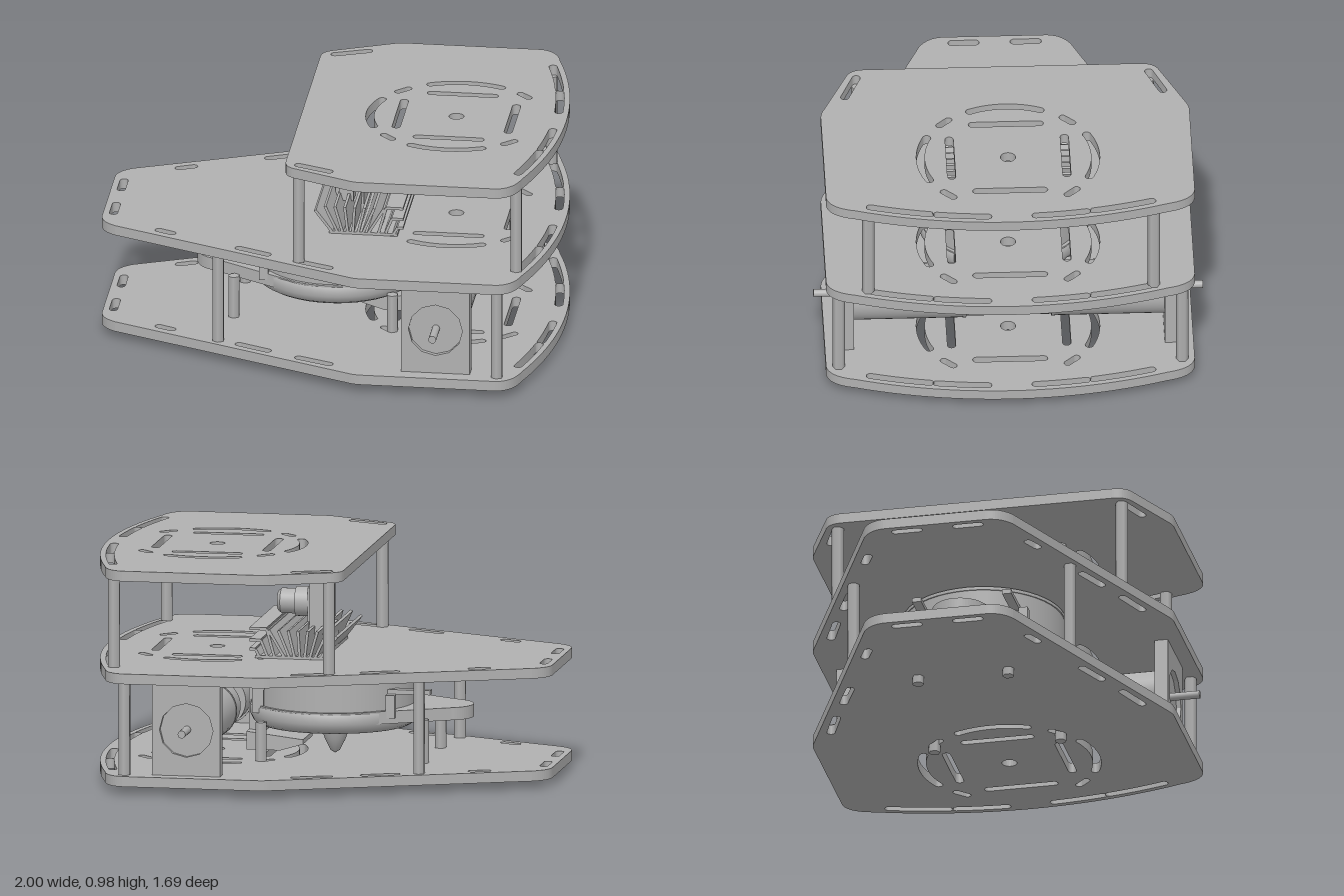
import * as THREE from 'three';

export function createModel() {
  const root = new THREE.Group();
  root.name = 'robotChassis';
  const grey = new THREE.MeshStandardMaterial({ color: 0xb0b0b0 });
  grey.name = 'plain grey';

  const add = (name, geo, x = 0, y = 0, z = 0) => {
    const m = new THREE.Mesh(geo, grey);
    m.name = name;
    m.position.set(x, y, z);
    root.add(m);
    return m;
  };
  const box = (name, x0, x1, y0, y1, z0, z1) =>
    add(name, new THREE.BoxGeometry(x1 - x0, y1 - y0, z1 - z0), (x0 + x1) / 2, (y0 + y1) / 2, (z0 + z1) / 2);
  const post = (name, x, z, y0, y1, r = 0.027) => {
    const g = new THREE.CylinderGeometry(r, r, y1 - y0, 6);
    return add(name, g.toNonIndexed(), x, (y0 + y1) / 2, z);
  };
  const cylZ = (name, r, x, y, z0, z1, seg = 40) =>
    add(name, new THREE.CylinderGeometry(r, r, Math.abs(z1 - z0), seg).rotateX(Math.PI / 2), x, y, (z0 + z1) / 2);
  const cylX = (name, r0, r1, x0, x1, y) =>
    add(name, new THREE.CylinderGeometry(r1, r0, x1 - x0, 32).rotateZ(-Math.PI / 2), (x0 + x1) / 2, y, 0);
  const flat = (shape, h) =>
    new THREE.ExtrudeGeometry(shape, { depth: h, bevelEnabled: false, curveSegments: 12 }).rotateX(-Math.PI / 2);
  const lathe = (pts) => new THREE.LatheGeometry(pts.map(p => new THREE.Vector2(...p)), 48);

  // Straight slot with round ends
  const slot = (x0, z0, x1, z1, r = 0.018) => {
    const a = Math.atan2(z1 - z0, x1 - x0), p = new THREE.Path();
    p.absarc(x1, z1, r, a - Math.PI / 2, a + Math.PI / 2, false);
    p.absarc(x0, z0, r, a + Math.PI / 2, a + Math.PI * 1.5, false);
    p.closePath();
    return p;
  };
  // Curved slot following a circle
  const arcSlot = (cx, cz, R, a0, a1, r = 0.018) => {
    const p = new THREE.Path();
    p.absarc(cx, cz, R + r, a0, a1, false);
    p.absarc(cx + R * Math.cos(a1), cz + R * Math.sin(a1), r, a1, a1 + Math.PI, false);
    p.absarc(cx, cz, R - r, a1, a0, true);
    p.absarc(cx + R * Math.cos(a0), cz + R * Math.sin(a0), r, a0 + Math.PI, a0 + Math.PI * 2, false);
    p.closePath();
    return p;
  };

  // Deck plates: tapered rear, bowed nose, mounting slots
  function deck(short) {
    const s = new THREE.Shape();
    const cx = -1.143, R = 2.143, a = Math.asin(0.68 / R);
    s.moveTo(0.2, -0.8);
    s.lineTo(0.79, -0.8);
    s.quadraticCurveTo(0.865, -0.79, cx + R * Math.cos(a), -0.68);
    s.absarc(cx, 0, R, -a, a, false);
    s.quadraticCurveTo(0.865, 0.79, 0.79, 0.8);
    s.lineTo(0.2, 0.8);
    s.quadraticCurveTo(0.17, 0.8, 0.14, 0.785);
    if (short) {
      s.lineTo(-0.1, 0.68);
      s.quadraticCurveTo(-0.15, 0.66, -0.15, 0.6);
      s.lineTo(-0.15, -0.6);
      s.quadraticCurveTo(-0.15, -0.66, -0.1, -0.68);
    } else {
      s.lineTo(-0.93, 0.33);
      s.quadraticCurveTo(-1, 0.29, -1, 0.22);
      s.lineTo(-1, -0.22);
      s.quadraticCurveTo(-1, -0.29, -0.93, -0.33);
    }
    s.lineTo(0.14, -0.785);
    s.quadraticCurveTo(0.17, -0.8, 0.2, -0.8);

    const c = 0.52, h = s.holes;
    const hub = new THREE.Path();
    hub.absarc(c, 0, 0.033, 0, Math.PI * 2, false);
    h.push(hub, slot(0.275, -0.145, 0.275, 0.145), slot(0.765, -0.145, 0.765, 0.145));
    h.push(arcSlot(c, 0, 0.375, Math.PI - 0.42, Math.PI + 0.42));
    for (const k of [1, -1]) {
      h.push(slot(0.38, 0.25 * k, 0.655, 0.25 * k));
      h.push(arcSlot(c, 0, 0.38, k * Math.PI / 2 - 0.42, k * Math.PI / 2 + 0.42));
      h.push(slot(0.235, 0.248 * k, 0.275, 0.288 * k, 0.016).clone());
      h.push(slot(0.765, 0.288 * k, 0.805, 0.248 * k, 0.016));
      const n = [[0.05, 0.155], [0.17, 0.295]];
      for (const [p, q] of n) h.push(arcSlot(-1.143, 0, 2.1, k > 0 ? p : -q, k > 0 ? q : -p));
      h.push(slot(-0.09, 0.635 * k, 0.05, 0.69 * k));
      if (!short) {
        h.push(slot(-0.365, 0.515 * k, -0.235, 0.572 * k));
        h.push(slot(-0.735, 0.355 * k, -0.675, 0.382 * k));
        h.push(slot(-0.955, 0.085 * k, -0.955, 0.185 * k));
      }
    }
    return flat(s, 0.045);
  }
  add('bottomDeck', deck(false), 0, 0.035, 0);
  add('middleDeck', deck(false), 0, 0.486, 0);
  add('topDeck', deck(true), 0, 0.938, 0);

  for (const k of [1, -1]) {
    // Hexagonal spacers between decks
    post('rearUpperSpacer', -0.09, 0.63 * k, 0.531, 0.938);
    post('noseUpperSpacer', 0.86, 0.62 * k, 0.531, 0.938);
    post('rearLowerSpacer', -0.46, 0.48 * k, 0.08, 0.486);
    post('noseLowerSpacer', 0.79, 0.745 * k, 0.08, 0.486);
    // Scanner legs pass through the bottom deck
    post('scannerRearLeg', -0.427, 0.2 * k, 0, 0.27, 0.026);
    post('scannerFrontLeg', 0.275, 0.28 * k, 0, 0.25, 0.026);

    // Drive motors with bracket and shaft
    const b = new THREE.Shape([[0.37, 0.08], [0.67, 0.08], [0.67, 0.486], [0.37, 0.486]].map(p => new THREE.Vector2(...p)));
    const hole = new THREE.Path();
    hole.absarc(0.52, 0.28, 0.118, 0, Math.PI * 2, false);
    b.holes.push(hole);
    add('motorBracket', new THREE.ExtrudeGeometry(b, { depth: 0.06, bevelEnabled: false, curveSegments: 6 }), 0, 0, k > 0 ? 0.675 : -0.735);
    cylZ('motorGearbox', 0.12, 0.52, 0.28, 0.2 * k, 0.715 * k);
    cylZ('motorBody', 0.114, 0.52, 0.28, 0.06 * k, 0.2 * k);
    cylZ('motorBand', 0.122, 0.52, 0.28, 0.185 * k, 0.2 * k);
    cylZ('motorShaft', 0.017, 0.52, 0.28, 0.7 * k, 0.845 * k, 16);
  }

  // Scanner slung beneath the middle deck
  const tear = new THREE.Shape();
  const t = 1.95;
  tear.absarc(0, 0, 0.365, -t, t, false);
  tear.absarc(-0.49, 0, 0.12, t, Math.PI * 2 - t, false);
  tear.closePath();
  add('scannerBase', flat(tear, 0.055), 0, 0.255, 0);
  add('scannerBowl', lathe([[0, 0.215], [0.33, 0.215], [0.355, 0.23], [0.37, 0.26], [0.37, 0.3], [0.35, 0.31], [0, 0.31]]));
  add('scannerTurret', new THREE.CylinderGeometry(0.35, 0.35, 0.16, 48), 0, 0.39, 0);
  add('scannerRim', new THREE.CylinderGeometry(0.355, 0.355, 0.015, 48), 0, 0.47, 0);
  add('scannerMotor', lathe([[0, 0.08], [0.02, 0.09], [0.045, 0.14], [0.063, 0.19], [0.065, 0.22], [0, 0.22]]));
  for (const k of [1, -1]) {
    box('scannerStrap', -0.46, 0.3, 0.38, 0.4, 0.2 * k - 0.02, 0.2 * k + 0.02);
    box('scannerFrontStrut', 0.275, 0.325, 0.28, 0.48, 0.2 * k - 0.025, 0.2 * k + 0.025);
    box('scannerRearStrut', -0.31, -0.27, 0.28, 0.38, 0.24 * k - 0.02, 0.24 * k + 0.02);
  }
  box('scannerWindow', 0.3, 0.365, 0.39, 0.48, -0.12, 0.1);
  box('scannerNeck', 0.3, 0.37, 0.17, 0.4, -0.055, 0.06);

  // Sloped control board under the scanner
  const wedge = new THREE.Shape([[0.12, 0.13], [0.22, 0.1], [0.37, 0.1], [0.37, 0.18], [0.12, 0.15]].map(p => new THREE.Vector2(...p)));
  add('controlBoard', new THREE.ExtrudeGeometry(wedge, { depth: 0.22, bevelEnabled: false }), 0, 0, -0.12);

  // Heat sink: fanned fins, the outer ones with folded lips
  const fin = (x0, y0, x1, y1) => {
    const m = add('heatSinkFin', new THREE.BoxGeometry(Math.hypot(x1 - x0, y1 - y0), 0.012, 0.585), (x0 + x1) / 2, (y0 + y1) / 2, 0.007);
    m.rotation.z = Math.atan2(y1 - y0, x1 - x0);
  };
  for (let i = 0; i < 8; i++) fin(0.02 + i * 0.021, 0.53, -0.06 + i * 0.043, 0.655 - (i === 0 ? 0.02 : 0));
  for (const [x0, x1, y1] of [[0.215, 0.25, 0.66], [0.245, 0.275, 0.61], [0.28, 0.3, 0.57]]) {
    fin(x0, 0.535, x1, y1);
    fin(x1, y1, 0.325, y1);
  }
  box('heatSinkBase', 0, 0.3, 0.531, 0.543, -0.285, 0.3);

  // Camera
  box('cameraBoard', 0.025, 0.088, 0.62, 0.9, -0.14, 0.14);
  box('cameraFoot', 0.0, 0.125, 0.543, 0.65, -0.07, 0.07);
  box('cameraHousing', 0.088, 0.11, 0.66, 0.81, -0.07, 0.07);
  cylX('lensBarrel', 0.065, 0.065, 0.11, 0.17, 0.74);
  cylX('lensRing', 0.055, 0.055, 0.17, 0.235, 0.74);
  cylX('lensTip', 0.055, 0.042, 0.235, 0.25, 0.74);

  return root;
}
